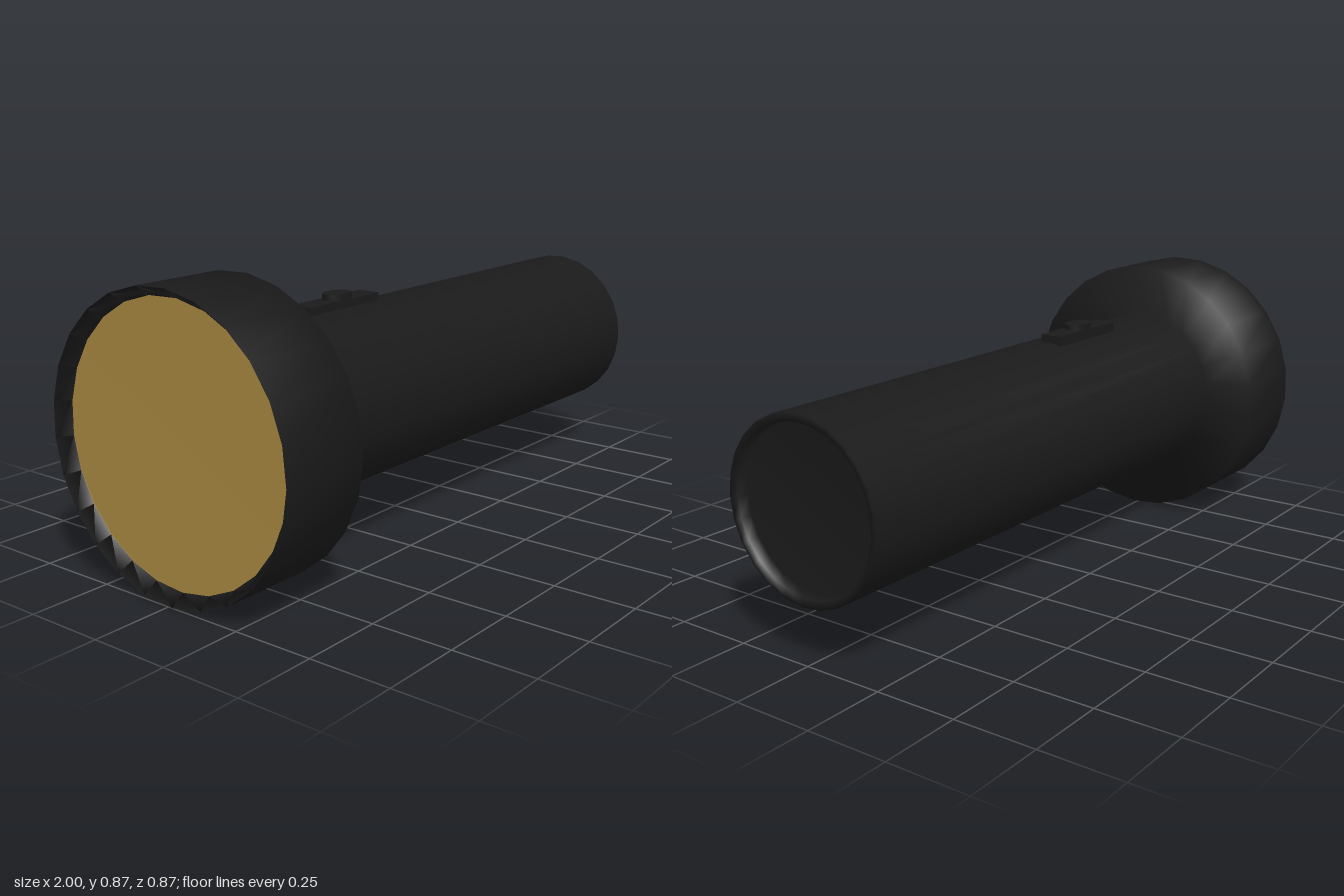
import * as THREE from 'three';

const AXIS_Y = 0.437;
const SIDES = 25;

export function createModel() {
  const model = new THREE.Group();
  const black = new THREE.MeshStandardMaterial({ color: 0x1a1a1a });
  black.name = 'black casing';
  const gold = new THREE.MeshStandardMaterial({ color: 0xa88840 });
  gold.name = 'gold reflector';

  // Turned part around the x axis; profile points are [radius, x]
  function turned(name, profile, material) {
    const points = profile.map(([r, x]) => new THREE.Vector2(r, x));
    const geometry = new THREE.LatheGeometry(points, SIDES, THREE.MathUtils.degToRad(88.1));
    geometry.rotateZ(-Math.PI / 2);
    const mesh = new THREE.Mesh(geometry, material);
    mesh.name = name;
    mesh.position.y = AXIS_Y;
    model.add(mesh);
  }

  // Wide head, handle and recessed handle end as one smooth casing
  turned('casing', [
    [0.405, -0.96], [0.436, -1], [0.436, -0.705], [0.267, -0.705],
    [0.267, 1], [0.242, 0.995], [0.24, 0.96], [0, 0.96],
  ], black);

  // Shallow gold reflector set into the head
  turned('reflector', [[0, -0.957], [0.405, -0.957], [0.408, -0.963]], gold);

  // Switch plate and its oval button
  const plate = new THREE.Mesh(new THREE.BoxGeometry(0.315, 0.047, 0.074), black);
  plate.name = 'switchPlate';
  plate.position.set(-0.258, 0.7035, -0.025);
  const button = new THREE.Mesh(new THREE.CylinderGeometry(0.053, 0.053, 0.03, 20), black);
  button.name = 'switchButton';
  button.position.set(-0.255, 0.73, -0.025);
  button.scale.z = 0.68;
  model.add(plate, button);

  return model;
}
